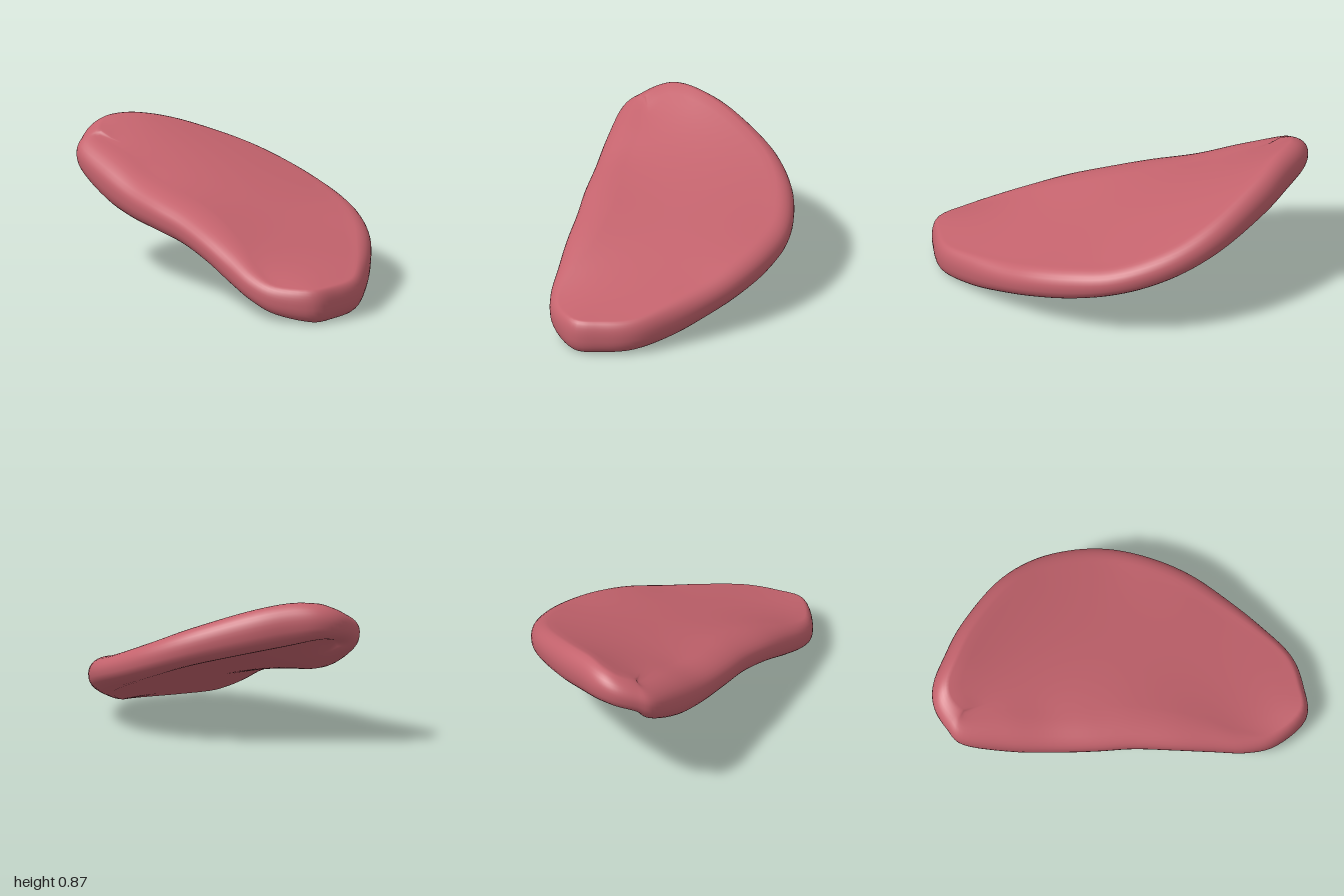
import * as THREE from 'three';
import { mergeVertices } from 'three/addons/utils/BufferGeometryUtils.js';

// rim stations, counter-clockwise from above:
// x, z, top height, bottom height, top inset, bottom inset
const RIM = [
  [0.4, 1.0, 0.205, 0.0, 0.045, 0.06], [0.56, 0.905, 0.205, 0.0, 0.05, 0.06],
  [0.7, 0.75, 0.215, 0.01, 0.06, 0.07], [0.775, 0.5, 0.26, 0.04, 0.08, 0.09],
  [0.82, 0.25, 0.31, 0.095, 0.11, 0.12], [0.84, 0, 0.37, 0.155, 0.12, 0.14],
  [0.81, -0.25, 0.42, 0.21, 0.12, 0.15], [0.73, -0.49, 0.465, 0.27, 0.12, 0.16],
  [0.59, -0.69, 0.53, 0.33, 0.11, 0.16], [0.4, -0.85, 0.61, 0.4, 0.1, 0.16],
  [0.15, -0.955, 0.705, 0.475, 0.1, 0.16], [-0.2, -1, 0.815, 0.555, 0.1, 0.15],
  [-0.45, -0.99, 0.865, 0.605, 0.1, 0.14], [-0.63, -0.968, 0.865, 0.64, 0.1, 0.13],
  [-0.75, -0.9, 0.84, 0.64, 0.11, 0.12], [-0.82, -0.78, 0.8, 0.605, 0.13, 0.12],
  [-0.845, -0.66, 0.765, 0.54, 0.15, 0.12], [-0.73, -0.42, 0.7, 0.425, 0.2, 0.12],
  [-0.6, -0.2, 0.62, 0.365, 0.2, 0.12], [-0.46, 0.03, 0.565, 0.335, 0.2, 0.12],
  [-0.33, 0.22, 0.515, 0.3, 0.2, 0.11], [-0.2, 0.44, 0.44, 0.235, 0.18, 0.1],
  [-0.08, 0.63, 0.355, 0.15, 0.14, 0.09], [0.03, 0.8, 0.27, 0.085, 0.1, 0.08],
  [0.17, 0.925, 0.215, 0.035, 0.06, 0.06],
];
const AROUND = 125, RINGS = 14, ROUND = 16;
const CX = 0.1, CZ = -0.1;

// height inside a closed ring of points, by mean value interpolation
function heightInside(ring, x, z) {
  const v = ring.map(([px, py, pz]) => ({ dx: px - x, dz: pz - z, r: Math.hypot(px - x, pz - z), y: py }));
  const half = v.map((a, i) => {
    const b = v[(i + 1) % v.length];
    return Math.tan(Math.atan2(a.dz * b.dx - a.dx * b.dz, a.dx * b.dx + a.dz * b.dz) / 2);
  });
  let sum = 0, total = 0;
  v.forEach((a, i) => {
    const w = (half[i] + half[(i + v.length - 1) % v.length]) / a.r;
    sum += w * a.y;
    total += w;
  });
  return sum / total;
}

// rings that fill a face from its middle out to the crest
function faceRows(crest) {
  const rows = [];
  for (let r = 0; r < RINGS; r++) {
    const t = r / RINGS;
    rows.push(crest.map(([ex, , ez]) => {
      const x = CX + (ex - CX) * t, z = CZ + (ez - CZ) * t;
      return [x, heightInside(crest, x, z), z];
    }));
  }
  return rows;
}

function slabGeometry() {
  const curveOf = (a, b, c) => new THREE.CatmullRomCurve3(
    RIM.map((p) => new THREE.Vector3(p[a], p[b], p[c])), true, 'catmullrom', 0.5);
  const outline = curveOf(0, 2, 1); // x, top, z
  const extra = curveOf(3, 4, 5);   // bottom, top inset, bottom inset
  const stations = [];
  for (let i = 0; i < AROUND; i++) {
    const t = i / AROUND;
    const p = outline.getPoint(t), e = extra.getPoint(t);
    const d = outline.getPoint((t + 0.04) % 1).sub(outline.getPoint((t + 0.96) % 1));
    const len = Math.hypot(d.x, d.z);
    stations.push({
      x: p.x, z: p.z, top: p.y, bottom: e.x, mid: e.x + (p.y - e.x) * 0.52,
      topInset: e.y, bottomInset: e.z, nx: -d.z / len, nz: d.x / len,
    });
  }

  // rounded rim from the top crest to the bottom crest
  const rim = [];
  for (let k = 0; k <= ROUND; k++) {
    const a = Math.PI / 2 - (Math.PI * k) / ROUND;
    const upper = k <= ROUND / 2;
    const power = upper ? 0.95 : 0.85;
    const out = Math.pow(Math.max(0, Math.cos(a)), power) - 1;
    const up = Math.pow(Math.abs(Math.sin(a)), power);
    rim.push(stations.map((s) => {
      const shift = out * (upper ? s.topInset : s.bottomInset);
      return [s.x + s.nx * shift, s.mid + ((upper ? s.top : s.bottom) - s.mid) * up, s.z + s.nz * shift];
    }));
  }
  const rows = [...faceRows(rim[0]), ...rim, ...faceRows(rim[ROUND]).reverse()];

  const index = [];
  for (let r = 0; r < rows.length - 1; r++) {
    for (let i = 0; i < AROUND; i++) {
      const j = (i + 1) % AROUND;
      const a = r * AROUND + i, b = a + AROUND, c = (r + 1) * AROUND + j, d = r * AROUND + j;
      if (r < rows.length - 2) index.push(a, b, c);
      if (r > 0) index.push(a, c, d);
    }
  }
  const geo = new THREE.BufferGeometry();
  geo.setAttribute('position', new THREE.Float32BufferAttribute(rows.flat(2), 3));
  geo.setIndex(index);
  const merged = mergeVertices(geo, 1e-5);
  merged.computeVertexNormals();
  return merged;
}

export function createModel() {
  const group = new THREE.Group();
  group.name = 'curvedSlab';
  const rose = new THREE.MeshStandardMaterial({ color: 0xc4636d });
  rose.name = 'rose';

  // single curved, half-round slab with a raised corner
  const slab = new THREE.Mesh(slabGeometry(), rose);
  slab.name = 'slabBody';
  group.add(slab);
  return group;
}
